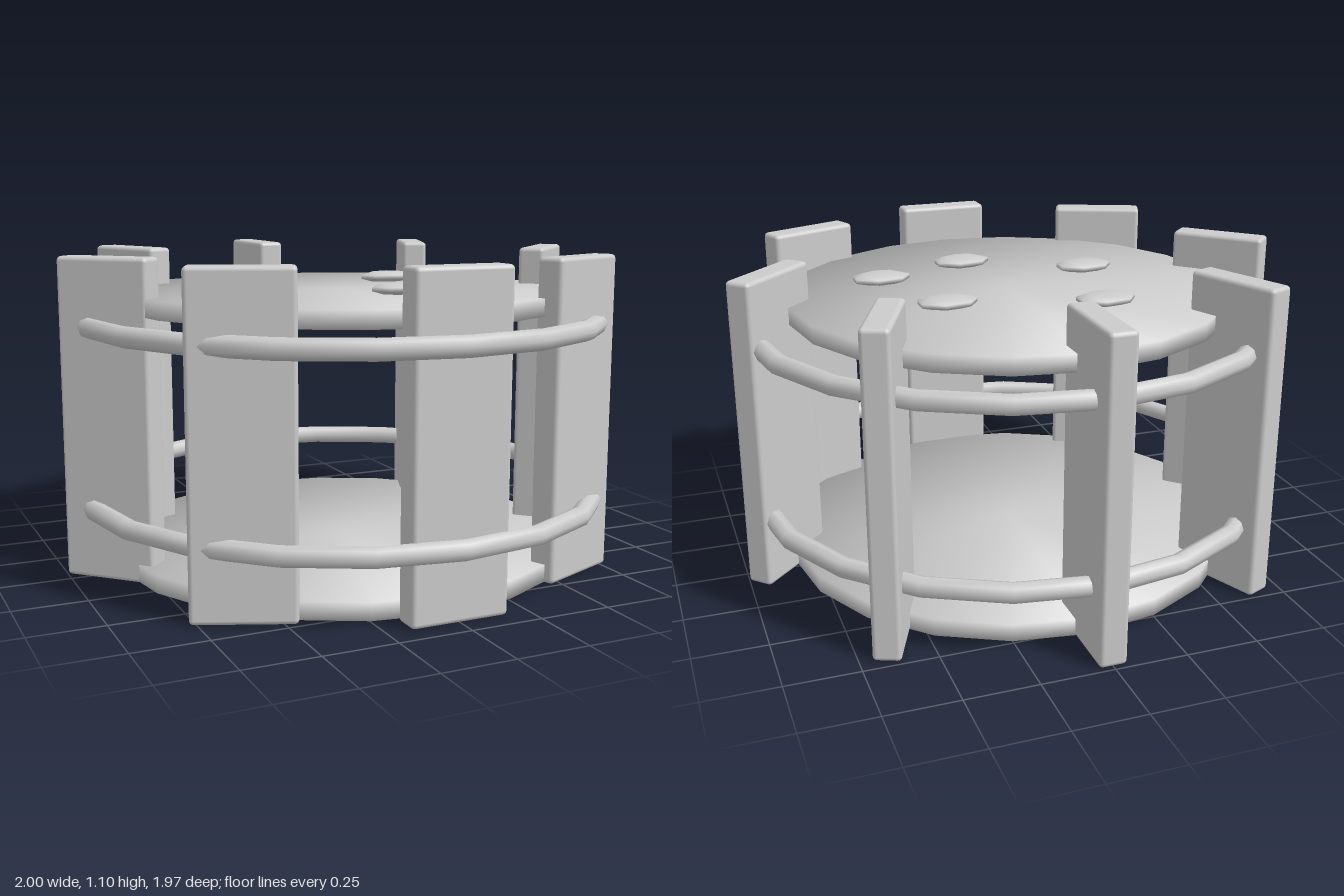
import * as THREE from 'three';
import { RoundedBoxGeometry } from 'three/addons/geometries/RoundedBoxGeometry.js';

const CENTRE_Z = 0.033;
const plain = new THREE.MeshStandardMaterial({ color: 0xcccccc });
plain.name = 'plain grey';

// Thin round disc whose smooth normals lean outward towards the rim
function disc(radius, height) {
  const geo = new THREE.CylinderGeometry(radius, radius, height, 20);
  const p = geo.attributes.position;
  const k = Math.SQRT1_2;
  for (let i = 0; i < p.count; i++) {
    geo.attributes.normal.setXYZ(i, k * p.getX(i) / radius, k * Math.sign(p.getY(i)), k * p.getZ(i) / radius);
  }
  return geo;
}

export function createModel() {
  const group = new THREE.Group();
  group.name = 'slattedDrum';
  const add = (name, geo, x, y, z) => {
    const mesh = new THREE.Mesh(geo, plain);
    mesh.name = name;
    mesh.position.set(x, y, z);
    group.add(mesh);
    return mesh;
  };

  // Base and lid
  add('bottomDisc', disc(0.82, 0.06), 0, 0.035, CENTRE_Z);
  add('topDisc', disc(0.79, 0.06), 0, 0.936, CENTRE_Z);

  // Eight upright slats, each turned by half of its angle around the drum
  const slat = new RoundedBoxGeometry(0.34, 1.1, 0.095, 2, 0.015);
  for (let i = -3; i <= 4; i++) {
    const a = i * Math.PI / 4;
    const mesh = add('slat', slat, 0.85 * Math.sin(a), 0.55, CENTRE_Z + 0.85 * Math.cos(a));
    mesh.rotation.y = a / 2;
  }

  // Two hoops through the slats
  const hoop = new THREE.TorusGeometry(0.92, 0.035, 8, 20).rotateX(Math.PI / 2);
  add('lowerHoop', hoop, 0, 0.24, CENTRE_Z);
  add('upperHoop', hoop, 0, 0.864, CENTRE_Z);

  // Flattened seeds lying on the lid
  const seed = new THREE.SphereGeometry(1, 7, 5).scale(0.113, 0.022, 0.075);
  const spots = [[-0.245, -0.288], [0.278, -0.15], [-0.347, 0.16], [0.417, 0.23], [0.07, 0.37]];
  for (const [x, z] of spots) add('seed', seed, x, 0.988, z);

  return group;
}
